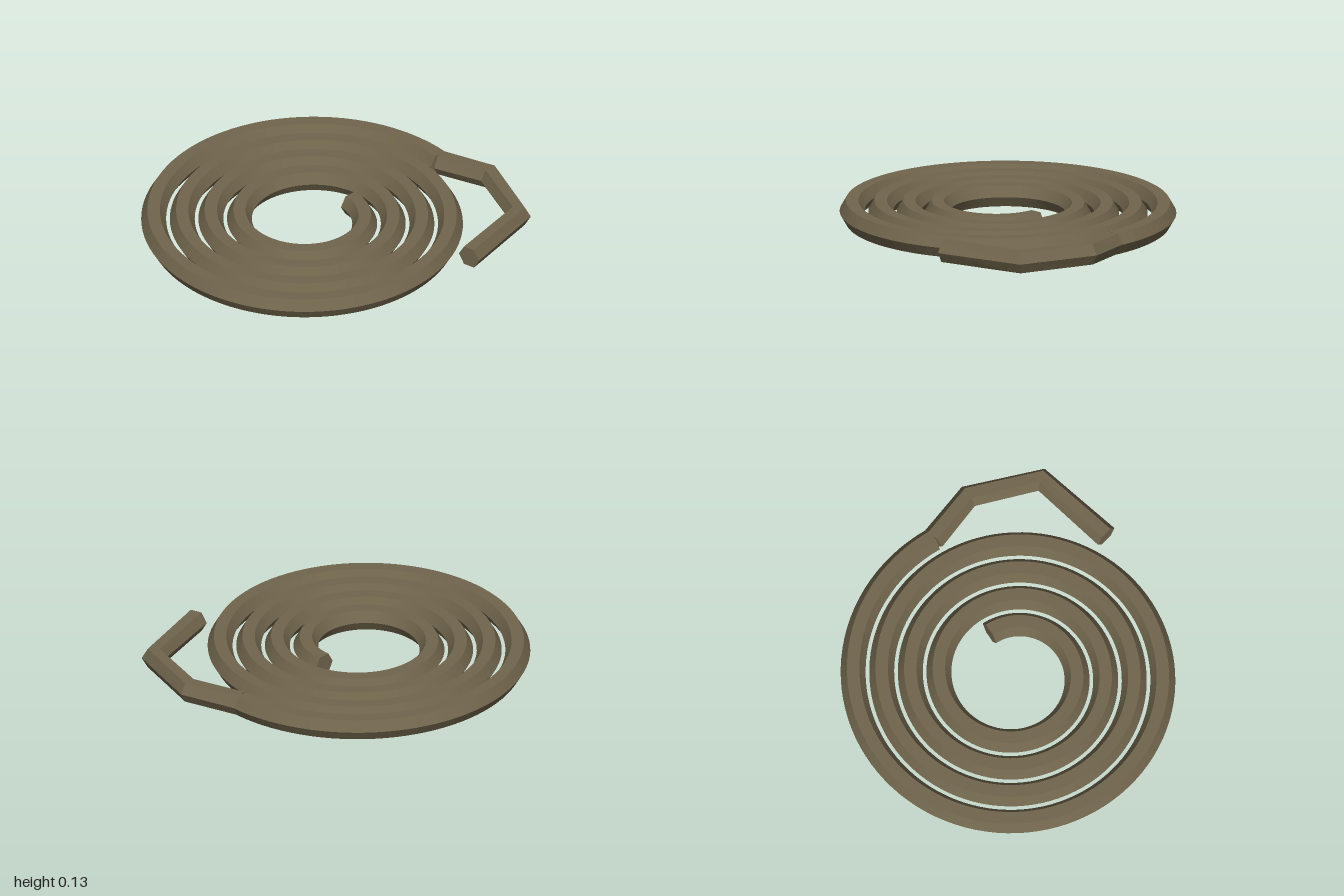
import * as THREE from 'three';

const UP = new THREE.Vector3(0, 1, 0);
const SIDES = 6;

// Sweeps a flat-topped hexagon along a list of points and caps both ends.
function sweepHex(points, radius) {
  const rings = points.map((p, i) => {
    const dir = new THREE.Vector3();
    if (i > 0) dir.add(p.clone().sub(points[i - 1]).normalize());
    if (i < points.length - 1) dir.add(points[i + 1].clone().sub(p).normalize());
    const side = UP.clone().cross(dir).normalize();
    return Array.from({ length: SIDES }, (_, j) => {
      const a = (j / SIDES) * Math.PI * 2;
      return p.clone()
        .addScaledVector(side, Math.cos(a) * radius)
        .addScaledVector(UP, Math.sin(a) * radius);
    });
  });

  const pos = [];
  const tri = (...corners) => corners.forEach((v) => pos.push(v.x, v.y, v.z));
  for (let i = 0; i < rings.length - 1; i++) {
    for (let j = 0; j < SIDES; j++) {
      const k = (j + 1) % SIDES;
      const a = rings[i][j], b = rings[i][k], c = rings[i + 1][k], d = rings[i + 1][j];
      tri(a, b, c);
      tri(a, c, d);
    }
  }
  const first = rings[0], last = rings[rings.length - 1];
  for (let j = 1; j < SIDES - 1; j++) {
    tri(first[0], first[j + 1], first[j]);
    tri(last[0], last[j], last[j + 1]);
  }

  const geometry = new THREE.BufferGeometry();
  geometry.setAttribute('position', new THREE.Float32BufferAttribute(pos, 3));
  geometry.computeVertexNormals();
  return geometry;
}

export function createModel() {
  const group = new THREE.Group();
  group.name = 'coiledRope';
  const rope = new THREE.MeshStandardMaterial({ name: 'ropeBrown', color: 0x70654c });

  const add = (name, points, radius) => {
    const mesh = new THREE.Mesh(sweepHex(points, radius), rope);
    mesh.name = name;
    group.add(mesh);
  };

  // Flat spiral of four turns, growing outward
  const turns = 4, steps = 400;
  const spiral = [];
  for (let i = 0; i <= steps; i++) {
    const t = (i / steps) * turns;
    const r = 0.285 + 0.156 * t;
    const a = t * Math.PI * 2;
    spiral.push(new THREE.Vector3(-0.098 + r * Math.cos(a), 0.059, 0.02 + r * Math.sin(a)));
  }
  add('coil', spiral, 0.068);

  // Loose angular end, lifted slightly off the ground
  const tail = [
    [0.812, 0.06, 0.02],
    [0.93, 0.073, 0.308],
    [0.818, 0.073, 0.703],
    [0.358, 0.073, 0.848],
  ].map((p) => new THREE.Vector3(...p));
  add('looseEnd', tail, 0.066);

  return group;
}
